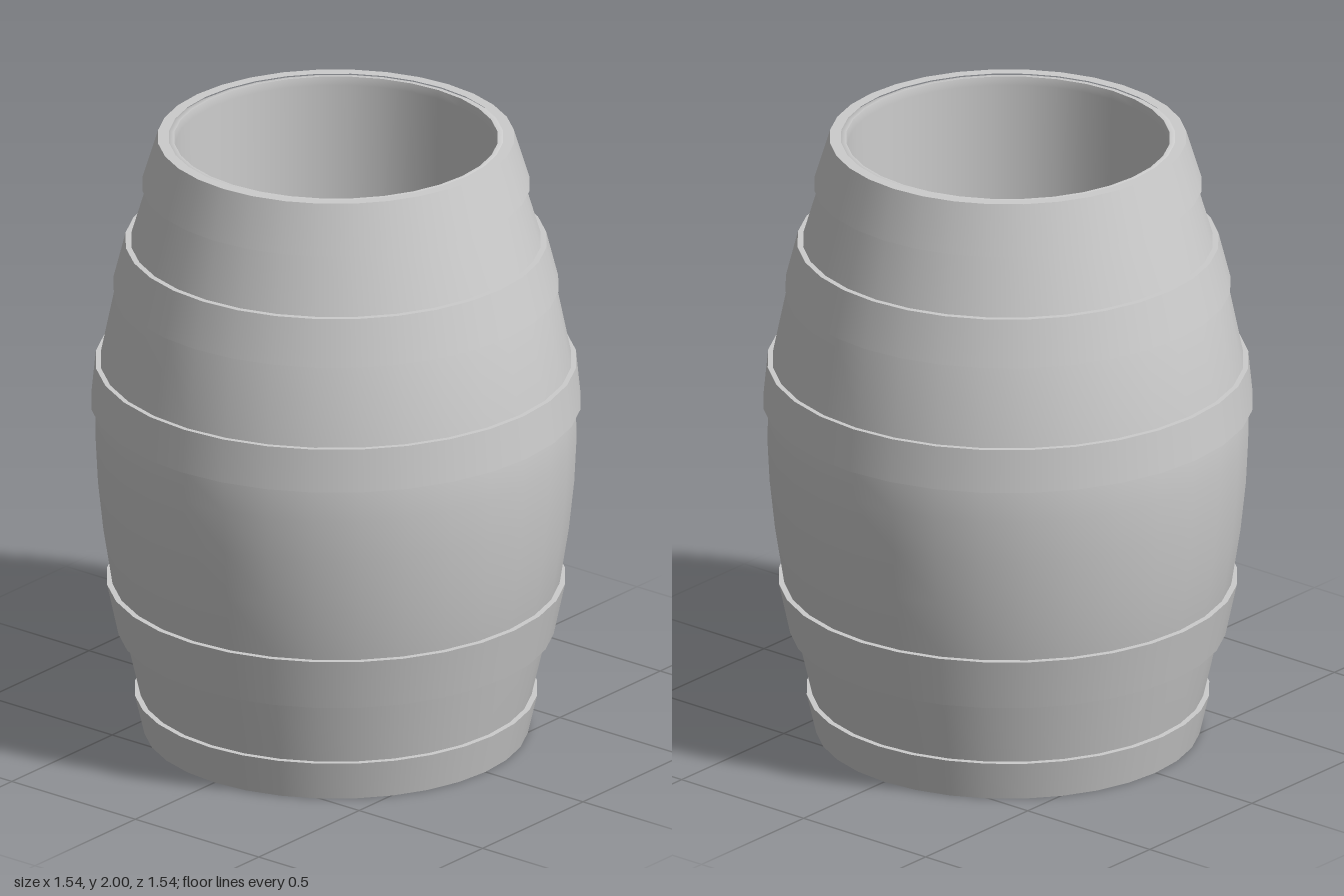
import * as THREE from 'three';

const SIDES = 32;
const wood = new THREE.MeshStandardMaterial({ color: 0xcccccc });
wood.name = 'pale grey';

// One smooth strip of revolution; outward when the points run upwards
function strip(points) {
  const profile = points.map(([r, y]) => new THREE.Vector2(r, y));
  return new THREE.Mesh(new THREE.LatheGeometry(profile, SIDES, Math.PI / 2), wood);
}

// Named group of strips, so each edge between strips stays sharp
function part(name, ...strips) {
  const group = new THREE.Group();
  group.name = name;
  for (const points of strips) {
    const mesh = strip(points);
    mesh.name = name + 'Surface';
    group.add(mesh);
  }
  return group;
}

// Sloped metal band with flat upper and lower edges
function hoop(name, y0, r0, y1, r1) {
  const t = 0.035;
  return part(name,
    [[r0 - t, y0], [r0, y0]],
    [[r0, y0], [r1, y1]],
    [[r1, y1], [r1 - t, y1]]);
}

export function createModel() {
  const barrel = new THREE.Group();
  barrel.name = 'barrel';

  // Bulging staves, with rounded rim, inner wall and recessed underside
  barrel.add(part('staves',
    [[0.585, 0], [0.617, 0.13], [0.665, 0.34], [0.707, 0.52], [0.735, 0.7], [0.752, 0.86],
      [0.759, 1.0], [0.756, 1.1], [0.743, 1.24], [0.69, 1.5], [0.643, 1.66], [0.59, 1.84], [0.545, 1.985]],
    [[0.545, 1.985], [0.525, 1.997], [0.51, 1.997]],
    [[0.51, 1.997], [0.505, 1.97], [0.48, 0.12]],
    [[0.55, 0.09], [0.56, 0]],
    [[0.56, 0], [0.585, 0]]));

  // Floor seen from inside and from below
  barrel.add(part('floor',
    [[0.48, 0.12], [0, 0.12]],
    [[0, 0.09], [0.55, 0.09]]));

  // Hoops, from bottom to top
  [
    ['bottomHoop', 0, 0.605, 0.13, 0.635],
    ['lowerHoop', 0.34, 0.687, 0.51, 0.723],
    ['middleHoop', 1.105, 0.772, 1.245, 0.758],
    ['upperHoop', 1.5, 0.702, 1.65, 0.664],
    ['topHoop', 1.84, 0.611, 2.0, 0.562],
  ].forEach((h) => barrel.add(hoop(...h)));

  return barrel;
}
